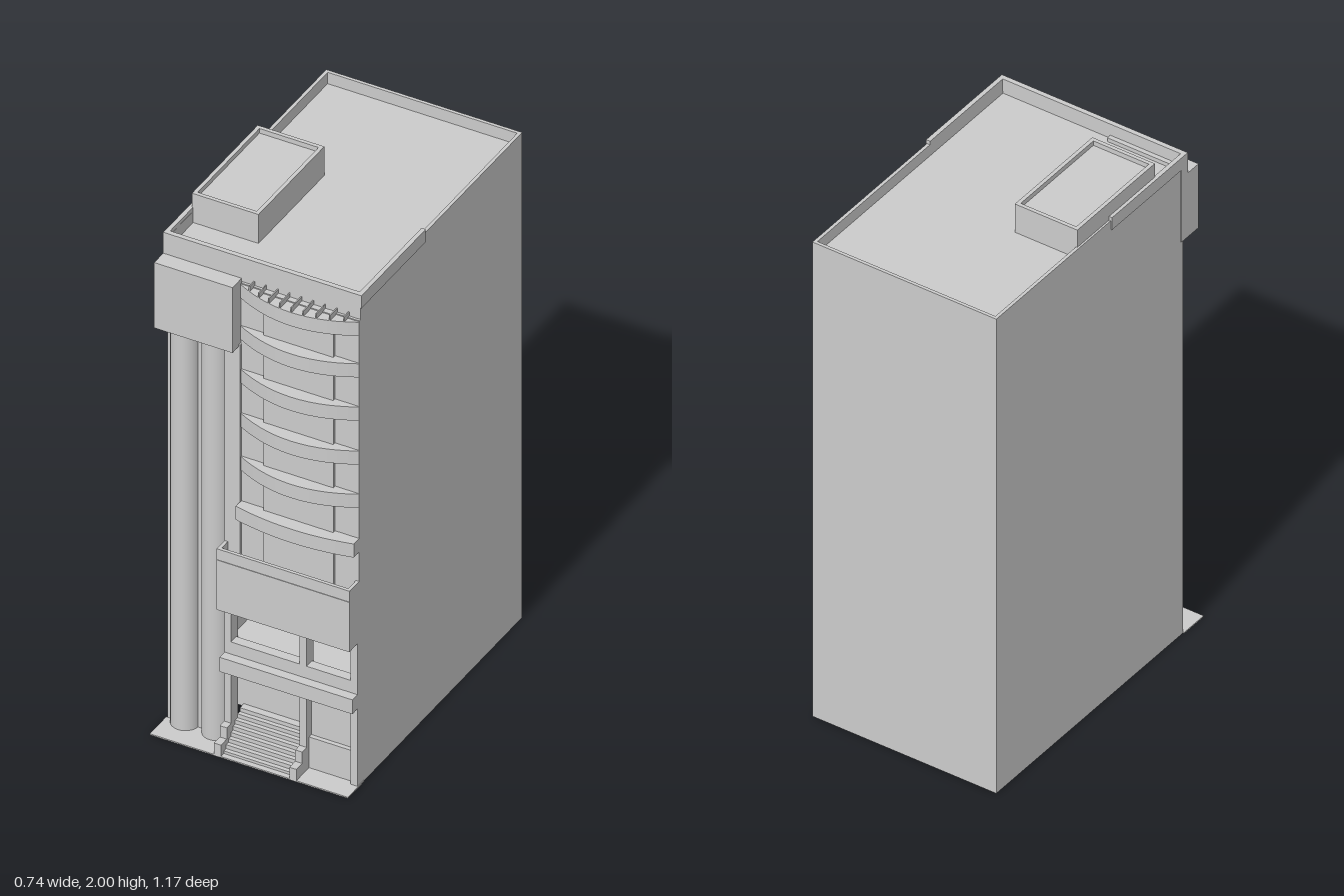
import * as THREE from 'three';

export function createModel() {
  const model = new THREE.Group();
  const mat = new THREE.MeshStandardMaterial({ color: 0xcccccc, side: THREE.DoubleSide });

  const add = (name, geo) => {
    const mesh = new THREE.Mesh(geo, mat);
    mesh.name = name;
    model.add(mesh);
    return mesh;
  };
  // Box from its limits on each axis
  const box = (name, x0, x1, y0, y1, z0, z1) => {
    const mesh = add(name, new THREE.BoxGeometry(x1 - x0, y1 - y0, z1 - z0));
    mesh.position.set((x0 + x1) / 2, (y0 + y1) / 2, (z0 + z1) / 2);
    return mesh;
  };
  // Rectangular rim of four walls
  const rim = (name, x0, x1, y0, y1, z0, z1, t) => {
    box(name, x0, x0 + t, y0, y1, z0, z1);
    box(name, x1 - t, x1, y0, y1, z0, z1);
    box(name, x0 + t, x1 - t, y0, y1, z0, z0 + t);
    box(name, x0 + t, x1 - t, y0, y1, z1 - t, z1);
  };
  // Flat plan outline of [x, z] points, raised from y0 to y1
  const plan = (name, pts, y0, y1) => {
    const shape = new THREE.Shape(pts.map(([x, z]) => new THREE.Vector2(x, -z)));
    const geo = new THREE.ExtrudeGeometry(shape, { depth: y1 - y0, bevelEnabled: false });
    geo.rotateX(-Math.PI / 2).translate(0, y0, 0);
    return add(name, geo);
  };

  const L = -0.365, R = 0.365, back = -0.585, front = 0.495;

  // Hollow main block, open underneath
  box('leftSideWall', L, L + 0.012, 0, 1.93, back, 0.475);
  box('rightSideWall', R - 0.012, R, 0, 1.93, back, front);
  box('backWall', L, R, 0, 1.93, back, back + 0.012);
  box('columnBackWall', L, -0.13, 0, 1.86, 0.463, 0.475);
  box('upperFrontWall', -0.13, R, 0.57, 1.9, 0.48, front);
  box('roofSlab', L, R, 1.87, 1.885, back, 0.49);

  // Cornice wrapped round the front part of the roof
  box('frontCornice', -0.37, 0.368, 1.895, 1.945, 0.477, front);
  box('corniceReturn', 0.352, 0.368, 1.895, 1.945, 0.065, 0.48);
  box('corniceReturn', -0.37, -0.354, 1.895, 1.945, 0.065, 0.48);
  box('corniceBand', -0.37, -0.075, 1.855, 1.9, 0.46, front);

  // Rooftop room with sunken top
  rim('roofRoomWall', -0.358, -0.11, 1.88, 2, -0.115, 0.325, 0.014);
  box('roofRoomTop', -0.346, -0.122, 1.97, 1.982, -0.103, 0.313);

  // Overhanging box on two round columns
  box('overhangBox', -0.37, -0.078, 1.602, 1.862, 0.46, 0.556);
  for (const x of [-0.301, -0.184]) {
    const column = add('roundColumn', new THREE.CylinderGeometry(0.05, 0.05, 1.6, 32));
    column.position.set(x, 0.803, 0.47);
  }
  box('pilaster', -0.13, -0.073, 0.57, 1.61, 0.47, 0.515);

  // Wall bays between the balconies
  box('centreBay', 0.015, 0.275, 0.77, 1.85, 0.49, 0.516);
  box('sideBay', -0.075, 0.015, 0.77, 1.85, 0.49, 0.504);
  box('sideBay', 0.275, R, 0.77, 1.85, 0.49, 0.504);

  // Bowed balcony bands
  const mid = 0.145, half = 0.22;
  const bow = (x, endZ) => 0.566 - (0.566 - endZ) * Math.pow(Math.abs(x - mid) / half, 2);
  const bowPlan = (endZ) => {
    const pts = [[mid - half, 0.49]];
    for (let i = 0; i <= 14; i++) {
      const x = mid - half + (2 * half * i) / 14;
      pts.push([x, bow(x, endZ)]);
    }
    pts.push([mid + half, 0.49]);
    return pts;
  };
  [0.93, 1.108, 1.28, 1.455, 1.627, 1.792].forEach((y, i) => {
    plan('balconyBand', bowPlan(i === 0 ? 0.54 : 0.507), y, y + 0.054);
  });

  // Row of upright fins over the top band
  for (let i = 0; i < 9; i++) {
    const x = -0.031 + i * 0.044;
    box('topFin', x - 0.002, x + 0.002, 1.84, 1.866, 0.49, bow(x, 0.507));
  }

  // Projecting first balcony with thin parapet
  box('balconyBlock', -0.13, R, 0.572, 0.77, 0.48, 0.57);
  box('balconyParapet', -0.13, R, 0.77, 0.813, 0.556, 0.568);
  box('balconyParapetEnd', -0.13, -0.118, 0.77, 0.813, 0.495, 0.556);
  box('balconyParapetEnd', R - 0.012, R, 0.77, 0.813, 0.495, 0.556);

  // Lower frame: posts, sill and canopy
  for (const [x0, x1] of [[-0.13, -0.106], [0.15, 0.176], [0.34, R]]) {
    box('framePost', x0, x1, 0, 0.575, 0.47, 0.516);
  }
  box('windowSill', -0.13, R, 0.37, 0.418, 0.48, 0.516);
  box('canopy', -0.13, R, 0.313, 0.37, 0.47, 0.55);

  // Rooms behind the windows and the entrance
  box('windowRoomFloor', -0.13, R - 0.012, 0.39, 0.405, 0.25, 0.49);
  box('windowRoomBack', -0.13, R - 0.012, 0.39, 0.6, 0.24, 0.25);
  box('windowRoomSide', -0.142, -0.13, 0.39, 0.6, 0.25, 0.475);
  box('windowRoomCeiling', -0.13, R - 0.012, 0.585, 0.597, 0.25, 0.49);
  box('entranceBack', -0.13, 0.176, 0.11, 0.39, 0.42, 0.43);
  box('shopPanel', 0.176, 0.34, 0.125, 0.32, 0.478, 0.484);
  box('shopPlinth', 0.176, 0.34, 0, 0.127, 0.478, 0.5);

  // Entrance stairs with stepped side walls
  const steps = 8;
  for (let i = 0; i < steps; i++) {
    const y = (0.12 * (i + 1)) / steps;
    const z = 0.565 - i * 0.0155;
    box('stairStep', -0.106, 0.15, y - 0.015, y, z - 0.032, z);
  }
  for (const x of [-0.118, 0.163]) {
    box('stairSideLow', x - 0.013, x + 0.013, 0, 0.05, 0.5, 0.585);
    box('stairSideHigh', x - 0.013, x + 0.013, 0.05, 0.095, 0.5, 0.546);
  }

  // Pavement strip
  box('pavement', -0.37, 0.368, 0, 0.005, 0.475, 0.585);

  return model;
}
